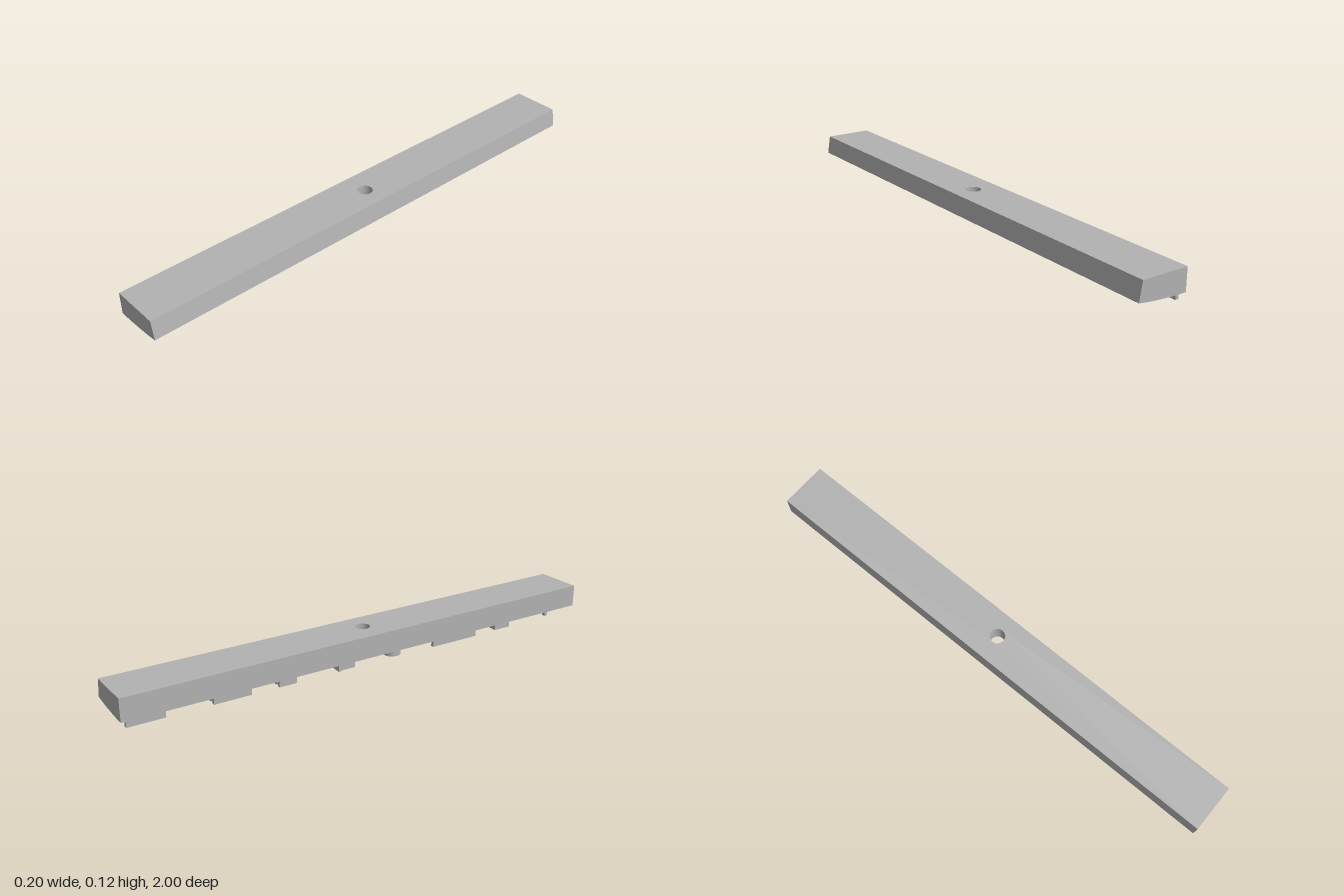
import * as THREE from 'three';
import { mergeGeometries } from 'three/addons/utils/BufferGeometryUtils.js';

const TOP = 0.115, HOLE = 0.029, FOOT = 0.028;
// Height of the gently curved underside across the width
const under = (x) => 0.031 + 0.07 * x + 0.4 * x * x;

const flat = (geo) => {
  const g = geo.index ? geo.toNonIndexed() : geo;
  g.deleteAttribute('uv');
  g.computeVertexNormals();
  return g;
};

// Move each vertex's y by a rule
const setY = (geo, rule) => {
  const p = geo.attributes.position;
  for (let i = 0; i < p.count; i++) p.setY(i, rule(p.getX(i), p.getY(i)));
  return geo;
};

const polygon = (pts) => new THREE.Shape(pts.map(([x, y]) => new THREE.Vector2(x, y)));

// Full-length strip between two x positions, with an optional round hole
function strip(x0, x1, up, hole) {
  const s = polygon([[x0, -1], [x1, -1], [x1, 1], [x0, 1]]);
  if (hole) s.holes.push(new THREE.Path().absarc(0, 0, HOLE, 0, Math.PI * 2, true));
  const g = new THREE.ShapeGeometry(s, 16).rotateX(up ? -Math.PI / 2 : Math.PI / 2);
  return flat(setY(g, (x) => (up ? TOP : under(x))));
}

function quad(a, b, c, d) {
  const g = new THREE.BufferGeometry();
  g.setAttribute('position', new THREE.Float32BufferAttribute([a, b, c, a, c, d].flat(), 3));
  return flat(g);
}

function bodyGeometry() {
  const xs = [-0.1, -0.065, -0.032, 0.032, 0.055, 0.078, 0.1];
  const parts = [strip(-0.1, 0.088, true, true)];
  for (let i = 0; i < xs.length - 1; i++) parts.push(strip(xs[i], xs[i + 1], false, i === 2));

  // Upright side and sloping side
  const r = under(0.1), l = under(-0.1);
  parts.push(quad([0.1, r, 1], [0.1, r, -1], [0.088, TOP, -1], [0.088, TOP, 1]));
  parts.push(quad([-0.1, l, -1], [-0.1, l, 1], [-0.1, TOP, 1], [-0.1, TOP, -1]));

  // End faces
  const profile = [...xs.map((x) => [x, under(x)]), [0.088, TOP], [-0.1, TOP]];
  parts.push(flat(new THREE.ShapeGeometry(polygon(profile)).translate(0, 0, 1)));
  const mirrored = profile.map(([x, y]) => [-x, y]).reverse();
  parts.push(flat(new THREE.ShapeGeometry(polygon(mirrored)).translate(0, 0, 1).rotateY(Math.PI)));

  // Wall of the through hole, facing inwards
  const wall = new THREE.CylinderGeometry(HOLE, HOLE, 1, 32, 1, true).scale(-1, 1, 1);
  parts.push(flat(setY(wall, (x, y) => (y > 0 ? TOP : under(x)))));
  return mergeGeometries(parts);
}

// Feet follow the curve of the underside
const drop = (geo) => flat(setY(geo, (x, y) => under(x) + (y > 0 ? 0.003 : -FOOT)));

function ribGeometry(x0, x1, z0, z1) {
  return drop(new THREE.BoxGeometry(x1 - x0, 1, z1 - z0).translate((x0 + x1) / 2, 0, (z0 + z1) / 2));
}

function ringGeometry(x, z, outer = 0.035, inner = 0.022) {
  const s = new THREE.Shape().absarc(0, 0, outer, 0, Math.PI * 2, false);
  s.holes.push(new THREE.Path().absarc(0, 0, inner, 0, Math.PI * 2, true));
  const g = new THREE.ExtrudeGeometry(s, { depth: 1, bevelEnabled: false, curveSegments: 12 });
  return drop(g.translate(0, 0, -0.5).rotateX(-Math.PI / 2).translate(x, 0, z));
}

export function createModel() {
  const model = new THREE.Group();
  const grey = new THREE.MeshStandardMaterial({ color: 0xb2b2b2 });
  grey.name = 'grey';
  const add = (name, geo) => {
    const mesh = new THREE.Mesh(geo, grey);
    mesh.name = name;
    model.add(mesh);
  };

  add('bar', bodyGeometry());

  // Round feet: x, z
  for (const [x, z] of [[-0.045, -0.875], [-0.045, -0.63], [-0.045, -0.375], [-0.05, 0.1], [-0.045, 0.375]])
    add('ringFoot', ringGeometry(x, z));

  // Straight ribs: x0, x1, z0, z1
  const ribs = [
    [-0.09, -0.077, -0.98, -0.84],
    [-0.09, -0.077, -0.665, -0.52],
    [-0.09, -0.077, -0.41, -0.34],
    [-0.09, 0.025, -0.163, -0.15],
    [-0.005, 0.008, 0.02, 0.163],
    [-0.09, -0.077, 0.27, 0.48],
    [-0.075, -0.06, 0.865, 0.88],
  ];
  for (const r of ribs) add('rib', ribGeometry(...r));

  // Square frames: x0, x1, z0, z1
  const t = 0.012;
  for (const [x0, x1, z0, z1] of [[-0.085, -0.02, -0.152, -0.09], [-0.085, -0.012, 0.585, 0.66]]) {
    add('frameFoot', mergeGeometries([
      ribGeometry(x0, x0 + t, z0, z1), ribGeometry(x1 - t, x1, z0, z1),
      ribGeometry(x0 + t, x1 - t, z0, z0 + t), ribGeometry(x0 + t, x1 - t, z1 - t, z1),
    ]));
  }
  return model;
}
